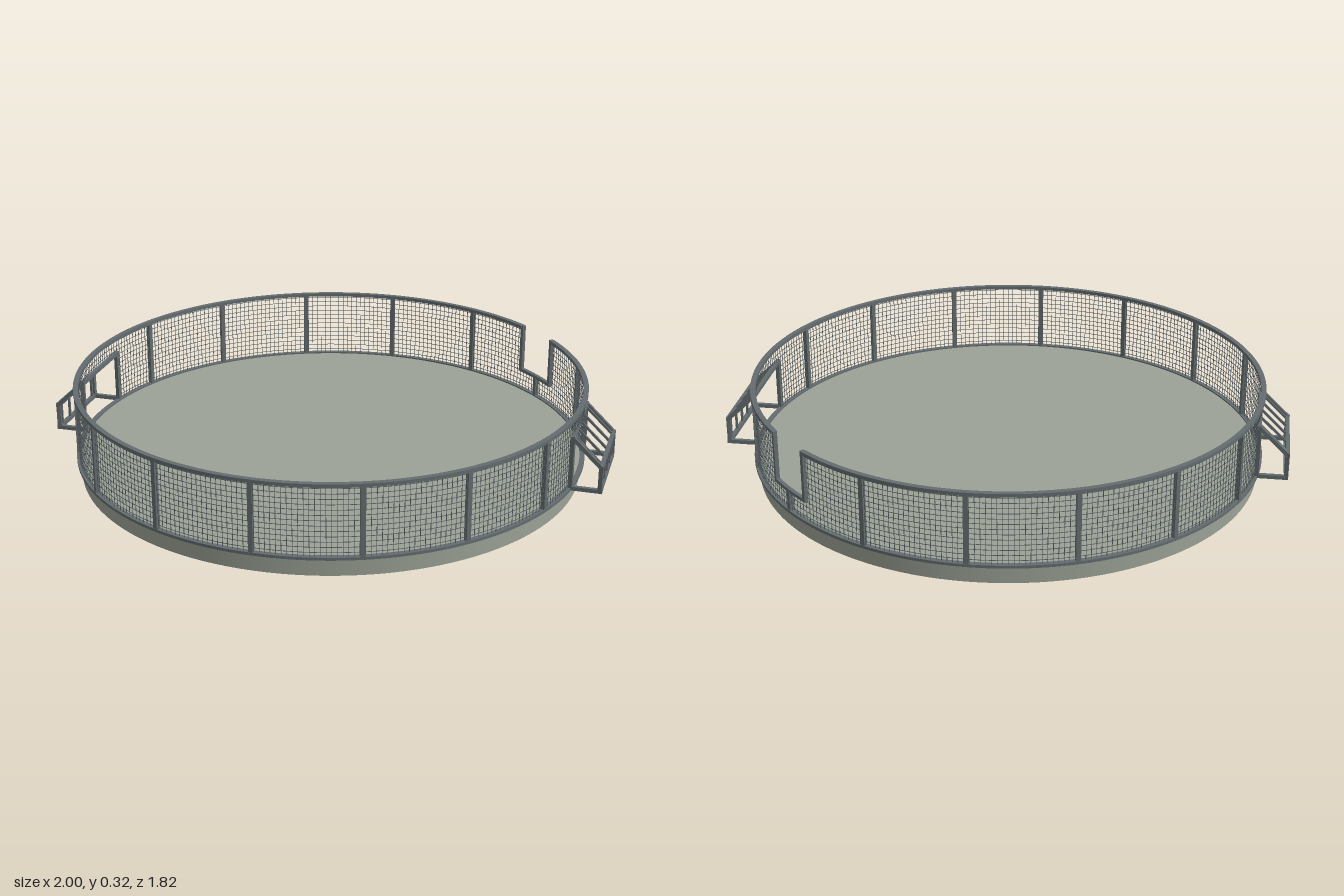
import * as THREE from 'three';
import { mergeGeometries } from 'three/addons/utils/BufferGeometryUtils.js';

const R = 0.9, FLOOR = 0.067, TOP = 0.325;
const PORTAL_TOP = 0.255, GAP_SILL = 0.145;
const PORTAL_HALF = 0.178, GAP_HALF = 0.103, GAP_AT = Math.PI / 4;
const TAU = Math.PI * 2;

const floorMat = new THREE.MeshStandardMaterial({ color: 0x9ba296 });
const steelMat = new THREE.MeshStandardMaterial({ color: 0x646c6f });
const wireMat = new THREE.MeshStandardMaterial({ color: 0x565d60 });

const onRing = (a, y) => new THREE.Vector3(R * Math.cos(a), y, -R * Math.sin(a));

// Square bar between two points
function bar(p, q, w) {
  const d = q.clone().sub(p);
  const g = new THREE.BoxGeometry(w, w, d.length()).toNonIndexed();
  const m = new THREE.Matrix4();
  const up = Math.abs(d.y) > 0.99 * d.length() ? new THREE.Vector3(p.x, 0, p.z) : new THREE.Vector3(0, 1, 0);
  m.lookAt(q, p, up);
  m.setPosition(p.clone().add(q).multiplyScalar(0.5));
  return g.applyMatrix4(m);
}

// Rectangular rail following the ring from angle a0 to a1
function arcRail(a0, a1, y, w, h) {
  const s = new THREE.Shape();
  s.absarc(0, 0, R + w / 2, a0, a1, false);
  s.absarc(0, 0, R - w / 2, a1, a0, true);
  s.closePath();
  const g = new THREE.ExtrudeGeometry(s, {
    depth: h, bevelEnabled: false, curveSegments: Math.max(3, Math.ceil((a1 - a0) / TAU * 128)),
  });
  return g.rotateX(-Math.PI / 2).translate(0, y - h / 2, 0);
}

// Angular distance between two directions
const apart = (a, b) => Math.abs(Math.atan2(Math.sin(a - b), Math.cos(a - b)));
const inPortal = (a) => apart(a, 0) < PORTAL_HALF || apart(a, Math.PI) < PORTAL_HALF;
const inGap = (a) => apart(a, GAP_AT) < GAP_HALF;

// Fence stretches present at a given height
function spansAt(y) {
  const cuts = [];
  if (y < PORTAL_TOP) cuts.push([0, PORTAL_HALF], [Math.PI, PORTAL_HALF]);
  if (y > GAP_SILL) cuts.push([GAP_AT, GAP_HALF]);
  cuts.sort((p, q) => p[0] - q[0]);
  return cuts.map(([a, h], i) => {
    const [b, k] = i + 1 < cuts.length ? cuts[i + 1] : [cuts[0][0] + TAU, cuts[0][1]];
    return [a + h, b - k];
  });
}

function mesh(name, geometries, material) {
  const m = new THREE.Mesh(mergeGeometries(geometries), material);
  m.name = name;
  return m;
}

// Sloped barred porch at +x
function portal(name) {
  const z = 0.157, x0 = 0.892, x1 = 0.993, yb = FLOOR + 0.004, ym = 0.158;
  const V = (x, y, zz) => new THREE.Vector3(x, y, zz);
  const parts = [];
  for (const s of [-z, z]) {
    parts.push(
      bar(V(x0, yb, s), V(x0, PORTAL_TOP, s), 0.014),
      bar(V(x0, PORTAL_TOP, s), V(x1, ym, s), 0.014),
      bar(V(x1, ym + 0.007, s), V(x1, yb - 0.007, s), 0.014),
      bar(V(x0, yb, s), V(x1, yb, s), 0.014));
  }
  for (const [x, y] of [[x0, PORTAL_TOP], [x1, ym], [x1, yb]])
    parts.push(bar(V(x, y, -z - 0.007), V(x, y, z + 0.007), 0.014));
  for (let i = -2; i <= 2; i++) {
    const s = i * 0.067;
    parts.push(bar(V(x0, PORTAL_TOP, s), V(x1, ym, s), 0.008), bar(V(x1, ym, s), V(x1, yb, s), 0.008));
  }
  return mesh(name, parts, steelMat);
}

export function createModel() {
  const group = new THREE.Group();

  // Round base slab
  const base = new THREE.Mesh(new THREE.CylinderGeometry(0.893, 0.893, FLOOR, 128), floorMat);
  base.position.y = FLOOR / 2;
  base.name = 'floor';
  group.add(base);

  // Top rail broken at the gap, continuous bottom rail
  group.add(mesh('topRail', [arcRail(GAP_AT + GAP_HALF, GAP_AT - GAP_HALF + TAU, TOP - 0.006, 0.018, 0.012)], steelMat));
  group.add(mesh('bottomRail', [0, Math.PI].map((a) => arcRail(a, a + Math.PI, FLOOR, 0.018, 0.01)), steelMat));

  // Fence posts, short under the gap and none in the portals
  const posts = [];
  for (let i = 0; i < 16; i++) {
    const a = i * TAU / 16;
    if (!inPortal(a)) posts.push(bar(onRing(a, FLOOR), onRing(a, inGap(a) ? GAP_SILL : TOP - 0.006), 0.016));
  }
  group.add(mesh('fencePosts', posts, steelMat));

  // Frame of the gap
  const gap = [arcRail(GAP_AT - GAP_HALF, GAP_AT + GAP_HALF, GAP_SILL, 0.014, 0.012)];
  for (const s of [-1, 1]) {
    const a = GAP_AT + s * GAP_HALF;
    gap.push(bar(onRing(a, GAP_SILL - 0.006), onRing(a, TOP), 0.014));
  }
  group.add(mesh('gapFrame', gap, steelMat));

  // Wire mesh between the rails
  const wires = [], uprights = [];
  const rows = 14, columns = 320, w = 0.0016;
  for (let i = 1; i < rows; i++) {
    const y = FLOOR + (TOP - FLOOR) * i / rows;
    for (const [a0, a1] of spansAt(y)) wires.push(arcRail(a0, a1, y, w, w));
  }
  for (let i = 0; i < columns; i++) {
    const a = (i + 0.5) * TAU / columns;
    uprights.push(bar(onRing(a, inPortal(a) ? PORTAL_TOP : FLOOR), onRing(a, inGap(a) ? GAP_SILL : TOP - 0.006), w));
  }
  group.add(mesh('horizontalWires', wires, wireMat), mesh('verticalWires', uprights, wireMat));

  // Porches on both sides
  const left = portal('leftPortal'), right = portal('rightPortal');
  right.rotation.y = Math.PI;
  group.add(left, right);

  return group;
}
